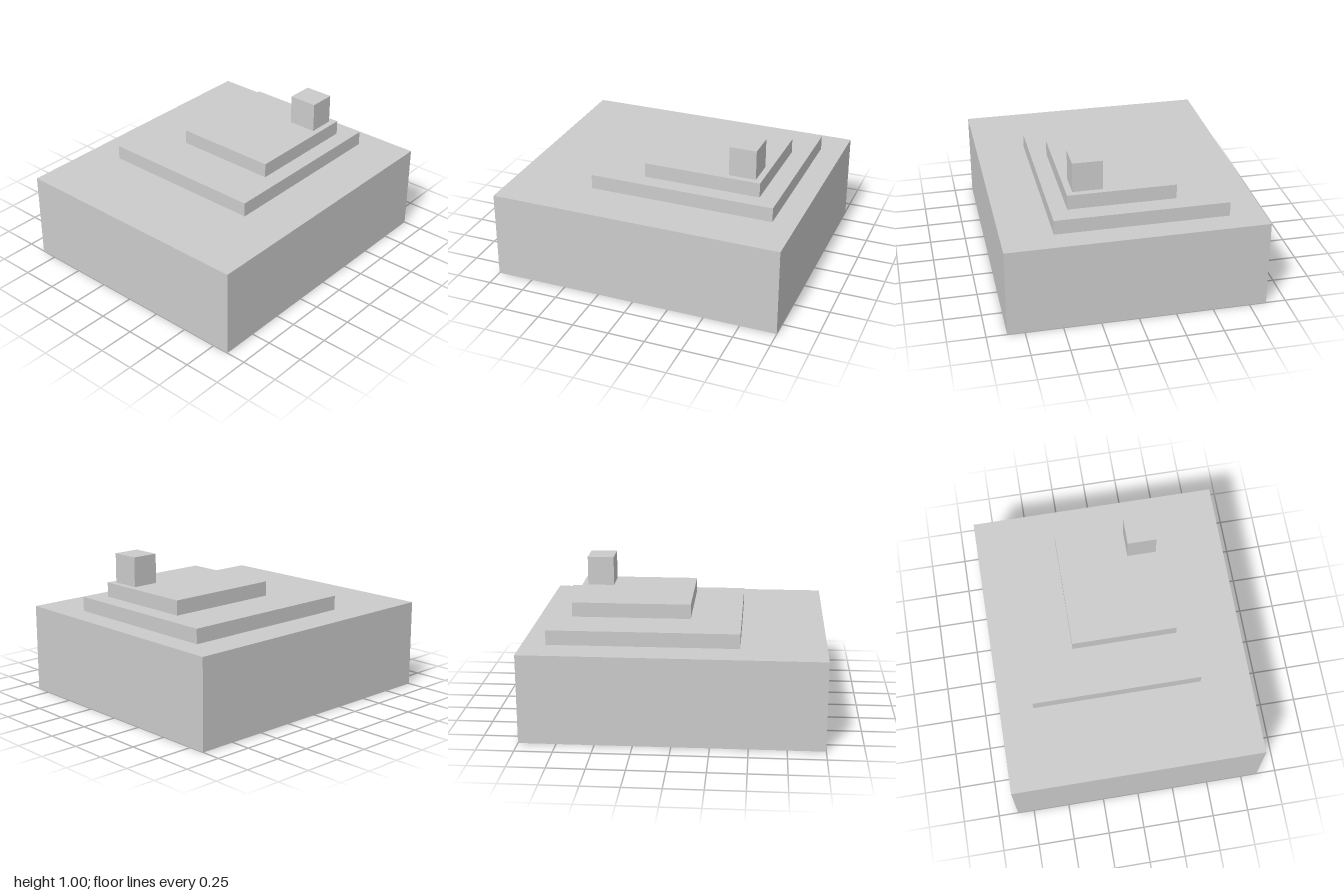
import * as THREE from 'three';

// Stacked blocks: [name, x range, y range, z range]
const BLOCKS = [
  ['base', [-0.865, 0.865], [0, 0.603], [-1, 1]],
  ['lowerTier', [-0.635, 0.523], [0.603, 0.702], [-0.84, 0.435]],
  ['upperTier', [-0.308, 0.412], [0.702, 0.802], [-0.714, 0.092]],
  ['topBlock', [0.17, 0.37], [0.802, 1.005], [-0.672, -0.487]],
];

export function createModel() {
  const group = new THREE.Group();
  const material = new THREE.MeshStandardMaterial({ color: 0xcccccc, flatShading: true });

  for (const [name, ...ranges] of BLOCKS) {
    const size = ranges.map(([min, max]) => max - min);
    const centre = ranges.map(([min, max]) => (min + max) / 2);
    const block = new THREE.Mesh(new THREE.BoxGeometry(...size), material);
    block.name = name;
    block.position.set(...centre);
    group.add(block);
  }
  return group;
}
